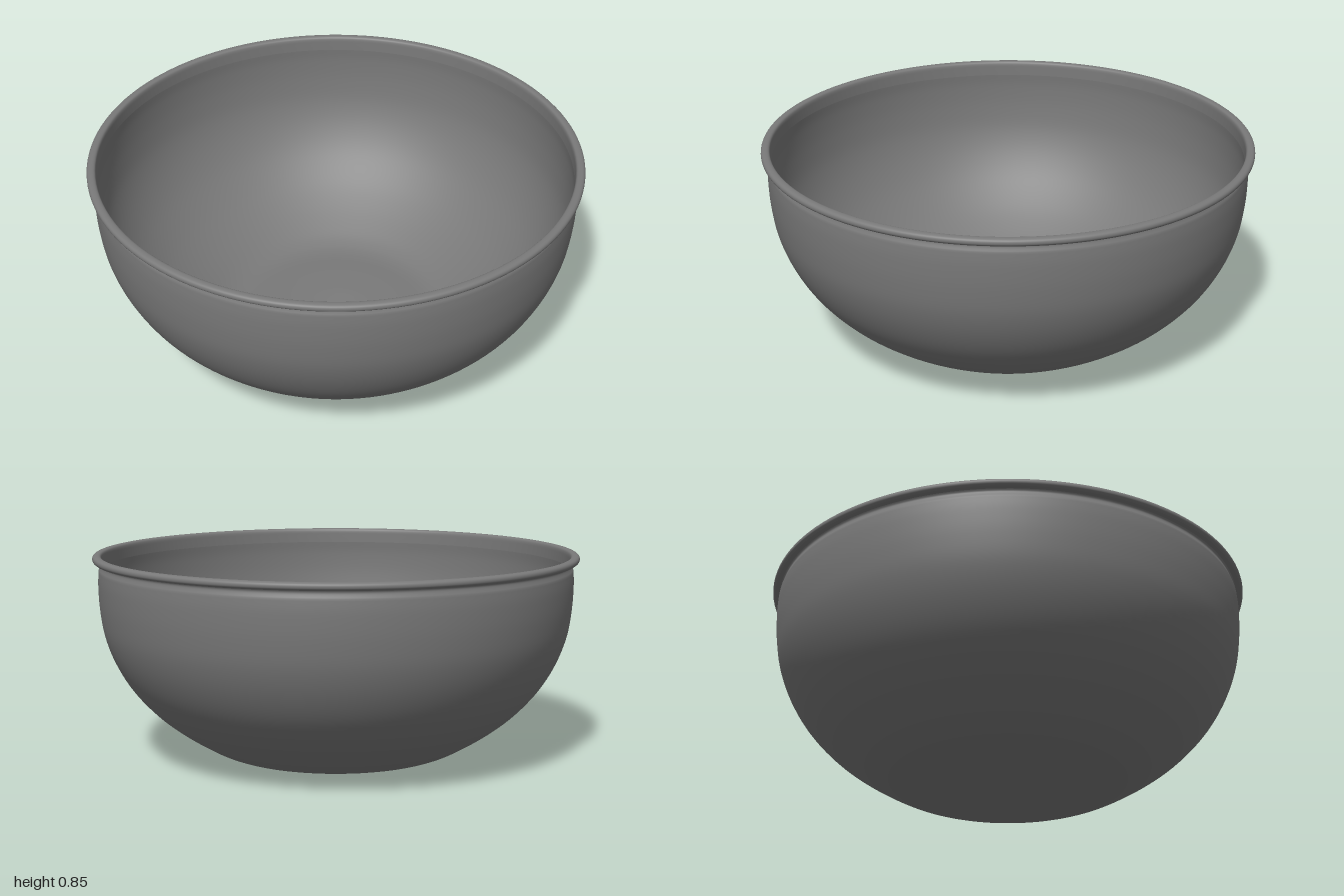
import * as THREE from 'three';

const SEGMENTS = 128;
const WALL = 0.014;
const v = (p) => new THREE.Vector2(p[0], p[1]);

// Smooth curve through a few [radius, height] points
const smooth = (points, n) => new THREE.SplineCurve(points.map(v)).getPoints(n);

export function createModel() {
  const group = new THREE.Group();
  const material = new THREE.MeshStandardMaterial({ color: 0x797979 });

  const addLathe = (name, profile) => {
    const mesh = new THREE.Mesh(new THREE.LatheGeometry(profile, SEGMENTS), material);
    mesh.name = name;
    group.add(mesh);
  };

  // Base with a shallow central bulge, then the rounded wall up to the neck
  const base = smooth([[0, 0], [0.07, 0.003], [0.13, 0.009], [0.19, 0.013], [0.3, 0.014], [0.4, 0.014]], 24);
  const wall = smooth([
    [0.4, 0.014], [0.44, 0.017], [0.485, 0.028], [0.55, 0.058], [0.66, 0.126], [0.76, 0.205],
    [0.85, 0.304], [0.914, 0.41], [0.955, 0.52], [0.973, 0.63], [0.978, 0.73], [0.975, 0.79],
  ], 56);
  const neck = smooth([[0.975, 0.79], [0.969, 0.805], [0.968, 0.814], [0.972, 0.821]], 8);
  const body = [...base, ...wall.slice(1)];
  addLathe('outerShell', [...body, ...neck.slice(1)]);

  // Inner surface: the body profile moved inward along its normals
  const inner = body.map((p, i) => {
    const a = body[Math.max(i - 1, 0)];
    const b = body[Math.min(i + 1, body.length - 1)];
    const t = b.clone().sub(a).normalize();
    return new THREE.Vector2(i === 0 ? 0 : p.x - t.y * WALL, p.y + t.x * WALL);
  });
  const lip = inner[inner.length - 1];
  addLathe('innerShell', inner.reverse());

  // Rim: flat underside, rounded outer edge, flat top blending into the inside
  addLathe('rimUnderside', [v([0.972, 0.821]), v([0.99, 0.822])]);
  addLathe('rim', smooth([
    [0.99, 0.822], [0.998, 0.829], [1, 0.838], [0.997, 0.846], [0.989, 0.851],
    [0.976, 0.852], [0.967, 0.848], [0.963, 0.838], [0.962, 0.82], [lip.x, lip.y],
  ], 36));

  return group;
}
